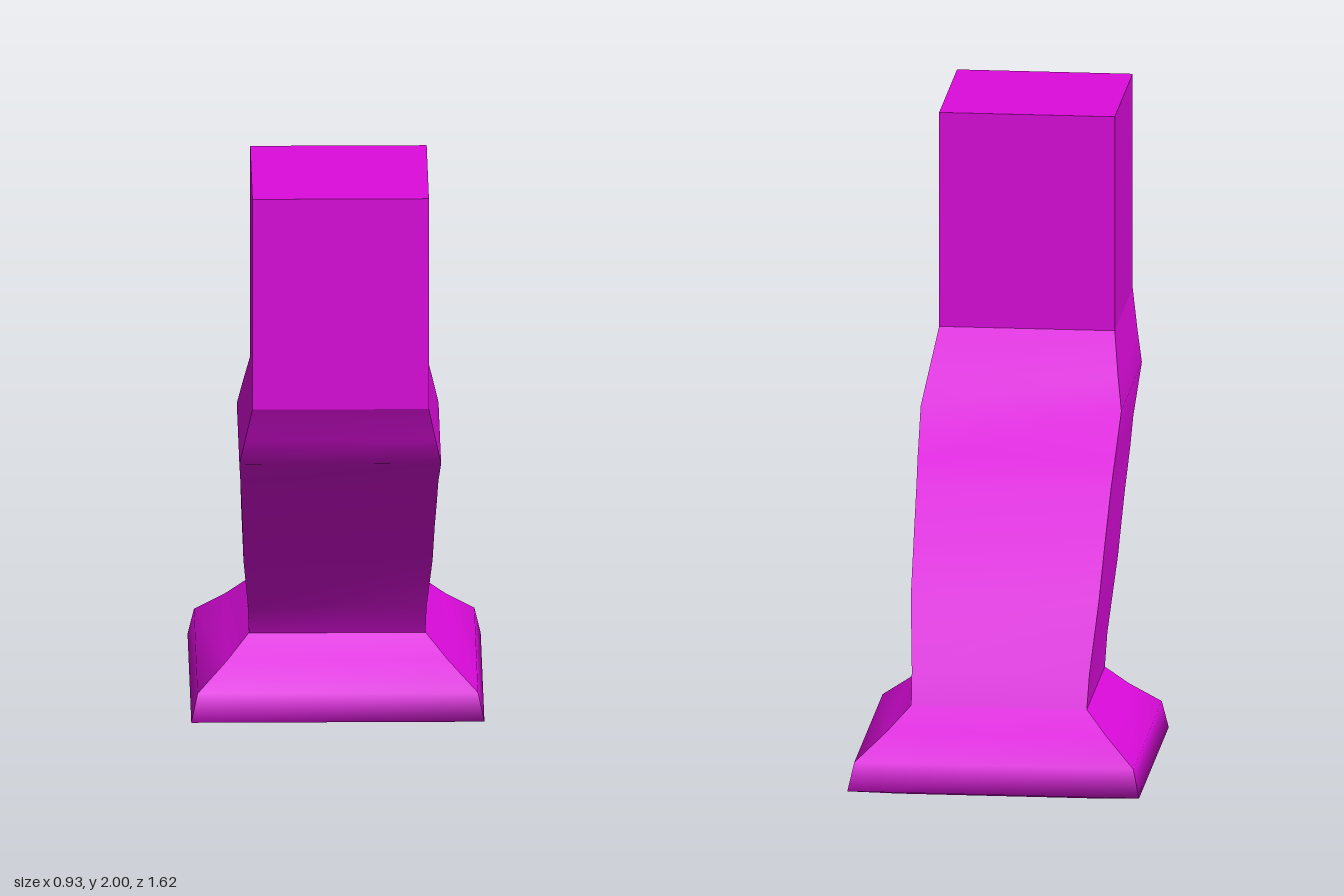
import * as THREE from 'three';
import { mergeGeometries } from 'three/addons/utils/BufferGeometryUtils.js';

const material = new THREE.MeshStandardMaterial({ color: 0xdd0bdd });

// One strip through two rows of corners: smooth along its length, sharp at its sides
function strip(left, right) {
  const points = [], index = [];
  left.forEach((p, i) => {
    points.push(...p, ...right[i]);
    if (i > 0) {
      const k = 2 * i;
      index.push(k - 2, k - 1, k + 1, k - 2, k + 1, k);
    }
  });
  const geo = new THREE.BufferGeometry();
  geo.setAttribute('position', new THREE.Float32BufferAttribute(points, 3));
  geo.setIndex(index);
  geo.computeVertexNormals();
  return geo;
}

// Four-sided loft from bottom to top; section = [halfWidth, frontZ, frontY, backZ, backY]
function loft(name, sections, { top = false, bottom = false } = {}) {
  const rings = sections.map(([w, fz, fy, bz, by]) =>
    [[w, fy, fz], [w, by, bz], [-w, by, bz], [-w, fy, fz]]);
  const parts = [];
  for (let j = 0; j < 4; j++) {
    parts.push(strip(rings.map(r => r[j]), rings.map(r => r[(j + 1) % 4])));
  }
  const first = rings[0], last = rings[rings.length - 1];
  if (top) parts.push(strip([last[0], last[3]], [last[1], last[2]]));
  if (bottom) parts.push(strip([first[1], first[2]], [first[0], first[3]]));
  const mesh = new THREE.Mesh(mergeGeometries(parts), material);
  mesh.name = name;
  return mesh;
}

export function createModel() {
  const group = new THREE.Group();
  group.name = 'curvedLeg';

  // Flared square foot: [half size, height]
  const footZ = -0.343;
  const foot = [[0.32, 0], [0.465, 0.04], [0.445, 0.13], [0.35, 0.21], [0.28, 0.28]]
    .map(([h, y]) => [h, footZ + h, y, footZ - h, y]);
  group.add(loft('foot', foot, { bottom: true }));

  // Bent shank with a stepped knee
  group.add(loft('shank', [
    [0.28, -0.06, 0.28, -0.625, 0.28],
    [0.283, -0.01, 0.38, -0.575, 0.38],
    [0.3, 0.155, 0.59, -0.44, 0.59],
    [0.305, 0.31, 0.755, -0.3, 0.745],
    [0.31, 0.44, 0.875, -0.165, 0.885],
    [0.314, 0.495, 0.96, -0.09, 0.955],
    [0.32, 0.705, 1.085, 0.065, 1.085],
    [0.302, 0.745, 1.18, 0.135, 1.18],
    [0.28, 0.81, 1.3, 0.25, 1.3],
  ]));

  // Straight upper post
  group.add(loft('upperPost', [
    [0.28, 0.81, 1.3, 0.25, 1.3],
    [0.28, 0.81, 2, 0.25, 2],
  ], { top: true }));

  return group;
}
